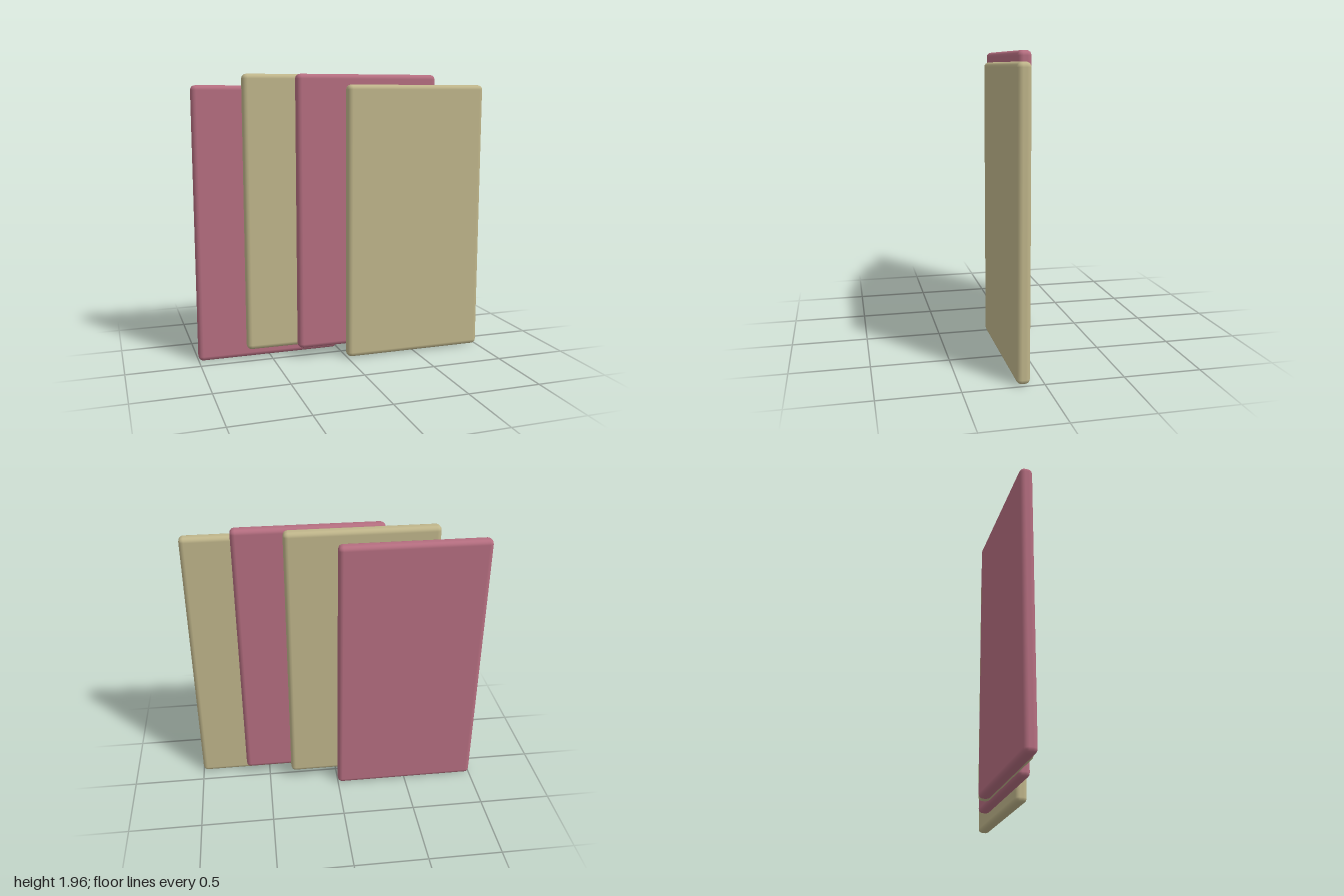
import * as THREE from 'three';
import { RoundedBoxGeometry } from 'three/addons/geometries/RoundedBoxGeometry.js';

const tan = new THREE.MeshStandardMaterial({ color: 0xbfb58a });
const pink = new THREE.MeshStandardMaterial({ color: 0xb56e80 });

// Four soft-edged panels, stepped sideways from back to front
const panels = [
  { name: 'backPanel', x: [-1, 0], y: [0, 1.885], z: [-0.17, -0.085], material: pink },
  { name: 'middleBackPanel', x: [-0.675, 0.34], y: [0.075, 1.96], z: [-0.087, 0], material: tan },
  { name: 'middleFrontPanel', x: [-0.33, 0.67], y: [0.075, 1.96], z: [0, 0.087], material: pink },
  { name: 'frontPanel', x: [0, 1], y: [0.005, 1.89], z: [0.085, 0.17], material: tan },
];

const size = ([a, b]) => b - a;
const middle = ([a, b]) => (a + b) / 2;

export function createModel() {
  const group = new THREE.Group();
  group.name = 'steppedPanels';
  for (const { name, x, y, z, material } of panels) {
    const geometry = new RoundedBoxGeometry(size(x), size(y), size(z), 2, 0.032);
    const mesh = new THREE.Mesh(geometry, material);
    mesh.name = name;
    mesh.position.set(middle(x), middle(y), middle(z));
    group.add(mesh);
  }
  return group;
}
